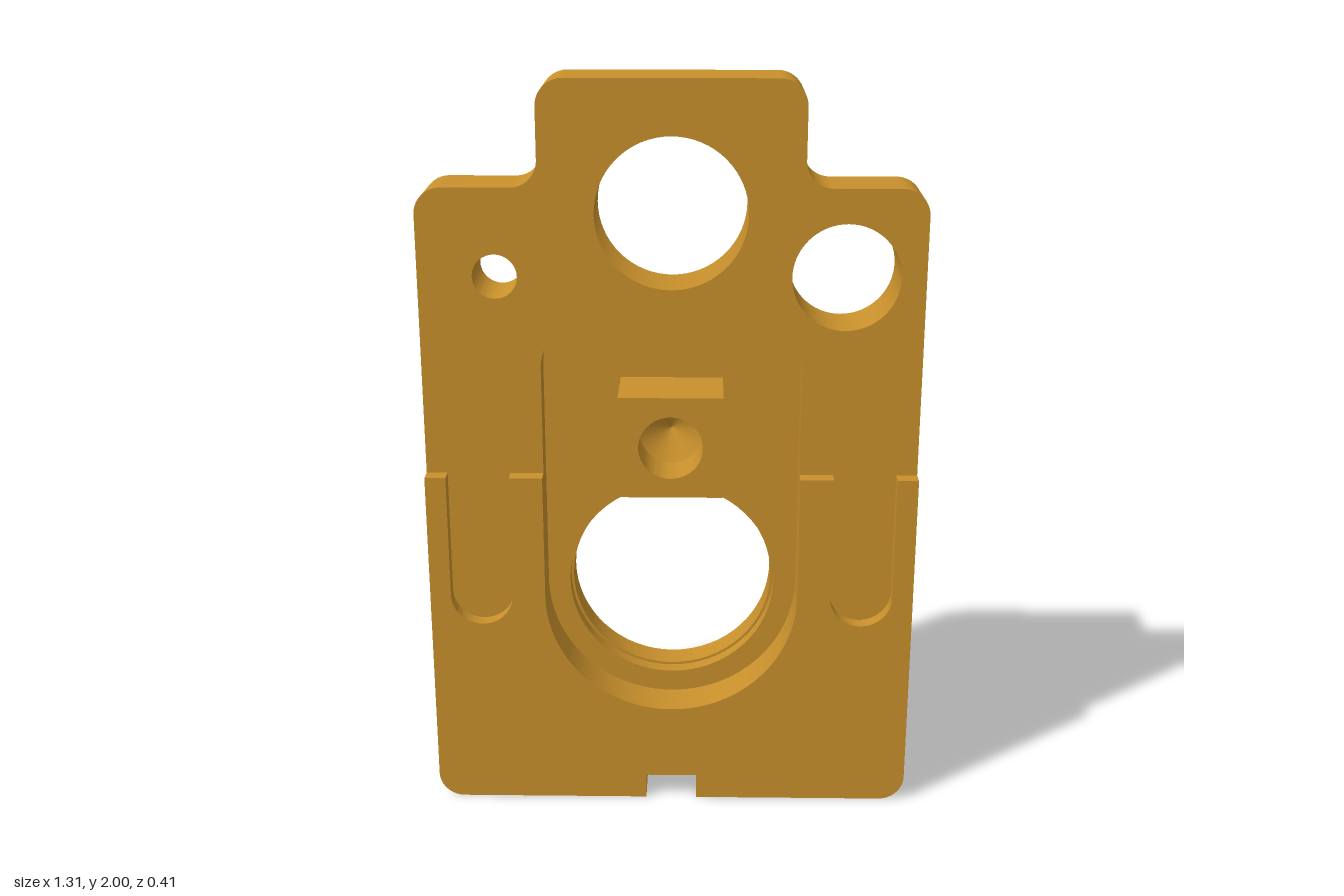
import * as THREE from 'three';
import { toCreasedNormals } from 'three/addons/utils/BufferGeometryUtils.js';

const W = 0.655;            // half width of the body
const BASE = 0.13;          // top of the drilled bottom slab
const R = 0.07;             // outer corner radius
const Z = { back: -0.205, web: -0.1, plateBack: -0.08, floor: 0.02, plateFront: 0.095, front: 0.137 };
const BORE = { x: 0, y: 0.62, r: 0.282 };
const THREADS = [
  { name: 'largeThread', x: 0, y: 1.66, r: 0.197, depth: 0.012, turns: 9 },
  { name: 'smallThread', x: -0.455, y: 1.497, r: 0.058, depth: 0.007, turns: 7 },
];

// Right-angled polygon with rounded corners: [x, y, radius]
function rounded(points, Type = THREE.Shape) {
  const path = new Type();
  const n = points.length;
  points.forEach(([x, y, r = 0], i) => {
    const p = new THREE.Vector2(x, y);
    const toward = (q, d) => new THREE.Vector2(q[0], q[1]).sub(p).setLength(d).add(p);
    const prev = points[(i + n - 1) % n], next = points[(i + 1) % n];
    const a = toward(prev, r), b = toward(next, r);
    if (i === 0) path.moveTo(a.x, a.y); else path.lineTo(a.x, a.y);
    if (r > 0) {
      const c1 = toward(prev, r * 0.4477), c2 = toward(next, r * 0.4477);
      path.bezierCurveTo(c1.x, c1.y, c2.x, c2.y, b.x, b.y);
    }
  });
  path.closePath();
  return path;
}

const rect = (x0, y0, x1, y1, r = 0, Type = THREE.Shape) =>
  rounded([[x0, y0, r], [x1, y0, r], [x1, y1, r], [x0, y1, r]], Type);

function circle(x, y, r) {
  return new THREE.Path().absarc(x, y, r, 0, Math.PI * 2, false);
}

function extrude(shape, depth) {
  const g = new THREE.ExtrudeGeometry(shape, { depth, bevelEnabled: false, curveSegments: 32 });
  return toCreasedNormals(g, 0.5);
}

// Tall plate with the narrow tab on top
function plateShape() {
  return rounded([
    [-W, BASE], [W, BASE], [W, 1.727, R], [0.34, 1.727, R], [0.34, 2, R],
    [-0.34, 2, R], [-0.34, 1.727, R], [-W, 1.727, R],
  ]);
}

function upperHoles() {
  return [circle(0.45, 1.497, 0.14), ...THREADS.map(t => circle(t.x, t.y, t.r + t.depth))];
}

// Front pocket: rounded top, semicircular bottom
function frontPocket() {
  const p = new THREE.Path(), x = 0.342, top = 1.385, r = 0.135;
  p.moveTo(-x, BORE.y);
  p.absarc(0, BORE.y, x, Math.PI, Math.PI * 2, false);
  p.absarc(x - r, top - r, r, 0, Math.PI / 2, false);
  p.absarc(-x + r, top - r, r, Math.PI / 2, Math.PI, false);
  p.closePath();
  return p;
}

// Raised front apron, cut from above by two slots and the pocket
function apronShape() {
  const s = new THREE.Shape(), top = 0.96;
  s.moveTo(-W, BASE);
  s.lineTo(W, BASE);
  s.lineTo(W, top);
  for (const [cx, r] of [[0.515, 0.084], [0, 0.342], [-0.515, 0.084]]) {
    s.lineTo(cx + r, top);
    s.lineTo(cx + r, BORE.y);
    s.absarc(cx, BORE.y, r, 0, Math.PI, true);
    s.lineTo(cx - r, top);
  }
  s.lineTo(-W, top);
  s.closePath();
  return s;
}

export function createModel() {
  const model = new THREE.Group();
  model.name = 'mountingBlock';
  const brass = new THREE.MeshStandardMaterial({ color: 0xc8902c });
  brass.name = 'brass';

  const add = (name, geometry, x = 0, y = 0, z = 0) => {
    const m = new THREE.Mesh(geometry, brass);
    m.name = name;
    m.position.set(x, y, z);
    model.add(m);
    return m;
  };
  // Layer between two depths
  const layer = (name, shape, holes, z0, z1) => {
    shape.holes.push(...holes);
    return add(name, extrude(shape, z1 - z0), 0, 0, z0);
  };
  // Slab extruded upward from an x/z outline
  const slab = (name, x0, x1, holeXs, y0, y1) => {
    const shape = rect(x0, -Z.front, x1, -Z.back);
    const mid = -(Z.front + Z.back) / 2;
    holeXs.forEach(x => shape.holes.push(circle(x, mid, 0.148)));
    add(name, extrude(shape, y1 - y0), 0, y0, 0).rotation.x = -Math.PI / 2;
  };
  // Turned inner surface along z; profile runs from front to back
  const turned = (name, profile, x, y) => {
    const g = new THREE.LatheGeometry(profile.map(p => new THREE.Vector2(...p)), 64);
    add(name, toCreasedNormals(g, 0.5), x, y).rotation.x = Math.PI / 2;
  };
  const bore = () => circle(BORE.x, BORE.y, BORE.r);

  // Main body, layered from front to back
  layer('frontApron', apronShape(), [], Z.plateFront, Z.front);
  layer('plateFront', plateShape(), [...upperHoles(), frontPocket()], Z.floor, Z.plateFront);
  layer('plateBack', plateShape(), [...upperHoles(), bore()], Z.plateBack, Z.floor);
  layer('backWeb', rect(-W, BASE, W, 1.165), [bore()], Z.web, Z.plateBack);
  layer('backBlock', rect(-W, BASE, W, 1.165),
    [rect(-0.495, 0.255, 0.495, 0.99, 0.1, THREE.Path)], Z.back, Z.web);

  // Bottom slab with two blind holes, centre notch and rounded ends
  slab('bottomSlab', -W, W, [-0.28, 0.28], R, BASE);
  for (const s of [1, -1]) {
    const side = s > 0 ? 'left' : 'right';
    const inner = s * 0.07, outer = s * (W - R);
    slab(side + 'Foot', Math.min(inner, outer), Math.max(inner, outer), [s * 0.28], 0, R);
    const corner = new THREE.Shape();
    corner.moveTo(outer, R);
    corner.lineTo(outer, 0);
    corner.absarc(outer, R, R, -Math.PI / 2, s > 0 ? 0 : -Math.PI, s < 0);
    corner.closePath();
    layer(side + 'FootCorner', corner, [], Z.back, Z.front);
  }

  // Stepped lining of the main bore
  turned('boreStep', [[0.282, -0.02], [0.275, -0.02], [0.275, Z.web], [0.282, Z.web]], BORE.x, BORE.y);

  // Threaded holes: zigzag profile
  for (const t of THREADS) {
    const profile = [[t.r + t.depth, Z.plateFront]];
    for (let i = 0; i <= t.turns * 2; i++) {
      const z = THREE.MathUtils.lerp(Z.plateFront, Z.plateBack, i / (t.turns * 2));
      profile.push([t.r + (i % 2) * t.depth, z]);
    }
    profile.push([t.r + t.depth, Z.plateBack]);
    turned(t.name, profile, t.x, t.y);
  }

  // Square boss with a drilled, cone-ended hole
  layer('boss', rect(-0.136, 0.935, 0.136, 1.207), [circle(0, 1.071, 0.084)], Z.floor, 0.205);
  turned('bossDrillPoint', [[0.084, 0.08], [0, 0.03]], 0, 1.071);

  return model;
}
